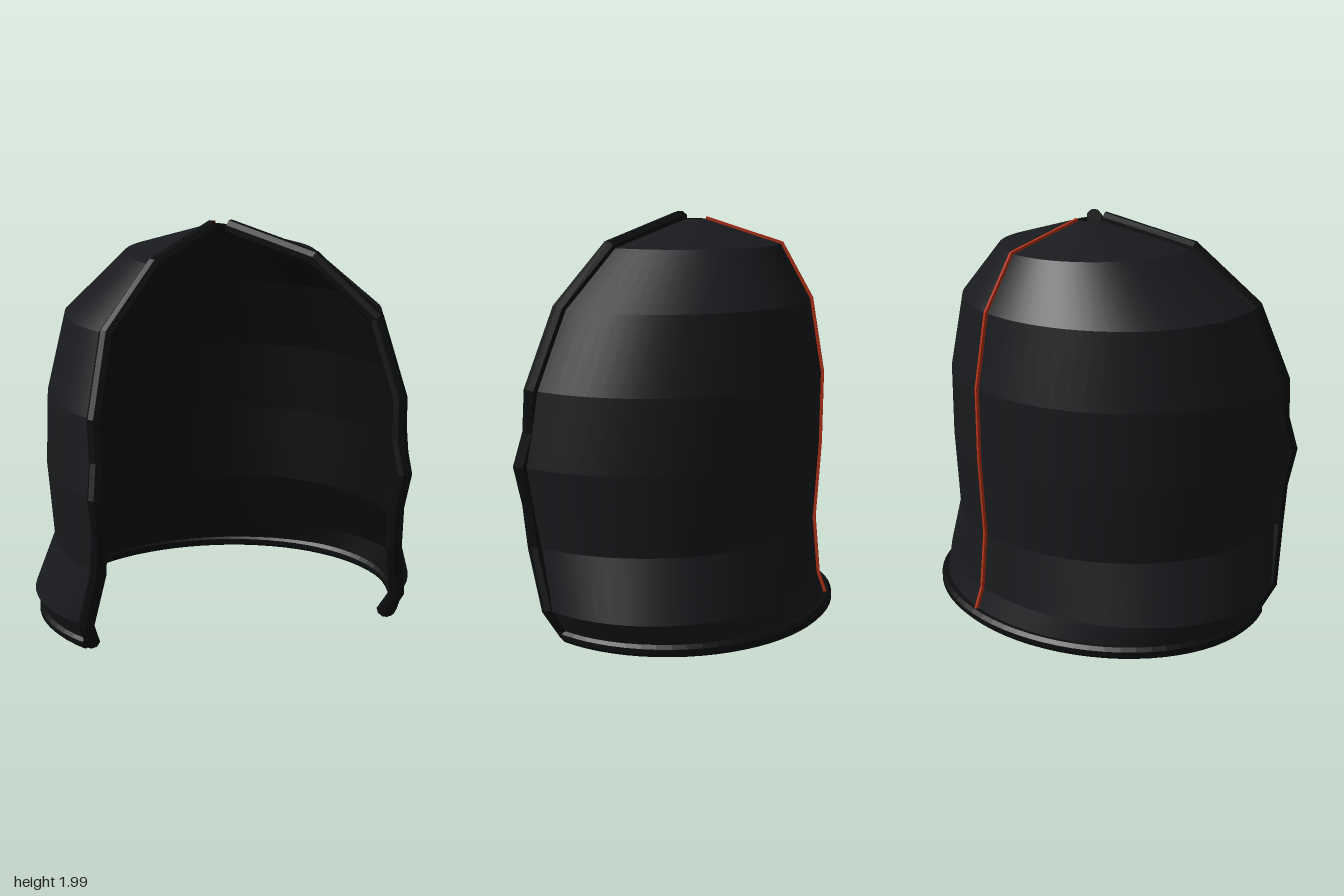
import * as THREE from 'three';
import { mergeGeometries } from 'three/addons/utils/BufferGeometryUtils.js';

// Levels: [y, half width, back z, front edge x, front edge z]
const LEVELS = [
  [0.03, 0.915, -0.70, 0.775, 0.485],
  [0.16, 0.97, -0.655, 0.805, 0.56],
  [0.45, 0.87, -0.63, 0.735, 0.635],
  [0.84, 0.90, -0.655, 0.75, 0.695],
  [1.20, 0.88, -0.66, 0.735, 0.64],
  [1.57, 0.78, -0.60, 0.65, 0.52],
  [1.84, 0.47, -0.45, 0.39, 0.335],
  [1.96, 0.052, -0.07, 0.04, 0.055],
];
const SEGMENTS = 48;

// Point on a level's open elliptical arc; u runs from -1 (right edge) to 1 (left edge)
function arcPoint([y, a, back, ex, ez], u) {
  const end = Math.PI - Math.asin(ex / a);
  const b = (ez - back) / (1 - Math.cos(end));
  return new THREE.Vector3(a * Math.sin(end * u), y, back + b - b * Math.cos(end * u));
}

// One band of cloth between two levels
function bandGeometry(low, high) {
  const pos = [], index = [];
  for (let i = 0; i <= SEGMENTS; i++) {
    const u = -1 + (2 * i) / SEGMENTS;
    pos.push(...arcPoint(low, u).toArray(), ...arcPoint(high, u).toArray());
    if (i < SEGMENTS) {
      const k = 2 * i;
      index.push(k, k + 1, k + 2, k + 1, k + 3, k + 2);
    }
  }
  const g = new THREE.BufferGeometry();
  g.setAttribute('position', new THREE.Float32BufferAttribute(pos, 3));
  g.setIndex(index);
  g.computeVertexNormals();
  return g;
}

// Stack of bands, smooth around and creased between levels
function layer(levels) {
  return mergeGeometries(levels.slice(1).map((level, i) => bandGeometry(levels[i], level)));
}

// Sweep a small polygon along straight segments, with mitred corners and end caps
function sweep(points, radius, sides, ref) {
  const pos = [], index = [], n = points.length;
  points.forEach((p, i) => {
    const t = points[Math.min(i + 1, n - 1)].clone().sub(points[Math.max(i - 1, 0)]).normalize();
    const side = new THREE.Vector3().crossVectors(ref, t).normalize();
    const up = new THREE.Vector3().crossVectors(t, side);
    for (let s = 0; s < sides; s++) {
      const q = ((s + 0.5) / sides) * Math.PI * 2;
      const v = p.clone().addScaledVector(side, radius * Math.cos(q)).addScaledVector(up, radius * Math.sin(q));
      pos.push(...v.toArray());
      if (i < n - 1) {
        const a = i * sides + s, b = i * sides + ((s + 1) % sides);
        index.push(a, b, a + sides, b, b + sides, a + sides);
      }
    }
  });
  const last = (n - 1) * sides;
  for (let s = 1; s < sides - 1; s++) index.push(0, s + 1, s, last, last + s, last + s + 1);
  const g = new THREE.BufferGeometry();
  g.setAttribute('position', new THREE.Float32BufferAttribute(pos, 3));
  g.setIndex(index);
  g.computeVertexNormals();
  return g;
}

export function createModel() {
  const group = new THREE.Group();
  const cloth = new THREE.MeshStandardMaterial({ color: 0x181a1d, side: THREE.DoubleSide });
  const dark = new THREE.MeshStandardMaterial({ color: 0x0b0c0e, side: THREE.DoubleSide });
  const trim = new THREE.MeshStandardMaterial({ color: 0x0c0d0e, flatShading: true });
  const red = new THREE.MeshStandardMaterial({ color: 0xb83418, flatShading: true });
  const add = (name, geometry, material) => {
    const mesh = new THREE.Mesh(geometry, material);
    mesh.name = name;
    group.add(mesh);
  };
  const Y = new THREE.Vector3(0, 1, 0), X = new THREE.Vector3(1, 0, 0);

  // Open hood shell with a darker lining just inside it
  add('hoodShell', layer(LEVELS), cloth);
  const inner = LEVELS.map(([y, a, back, ex, ez]) => [y > 1.5 ? y - 0.012 : y, a - 0.012, back + 0.012, ex - 0.012, ez - 0.005]);
  add('hoodLining', layer(inner), dark);

  // Thick rolled hem around the bottom
  const hem = [];
  for (let i = 0; i <= SEGMENTS; i++) hem.push(arcPoint(LEVELS[0], -1 + (2 * i) / SEGMENTS));
  add('bottomHem', sweep(hem, 0.032, 8, Y), trim);

  // Border and inner piping along both sides of the face opening
  for (const [u, name] of [[1, 'left'], [-1, 'right']]) {
    const edge = LEVELS.map((level) => arcPoint(level, u));
    // The border turns in at the bottom and pinches below and above its widest point
    edge[0].x -= 0.025 * u;
    edge[1].x -= 0.018 * u;
    edge.splice(4, 0, new THREE.Vector3(0.73 * u, 1.0, 0.652));
    edge.splice(3, 0, new THREE.Vector3(0.73 * u, 0.66, 0.66));
    const outward = new THREE.Vector3(u, 0, -1).normalize();
    add(name + 'FaceBorder', sweep(edge, 0.039, 8, outward), trim);
    const piping = LEVELS.slice(0, 5).map((level) => arcPoint(level, u * 0.985).add(new THREE.Vector3(-0.032 * u, 0, -0.005)));
    add(name + 'InnerPiping', sweep(piping, 0.006, 6, outward), red);
  }

  // Thin raised seam down the middle of the back
  const seam = LEVELS.map((level) => arcPoint(level, 0).add(new THREE.Vector3(0, 0.004, -0.007)));
  add('backSeam', sweep(seam, 0.011, 4, X), red);

  return group;
}
